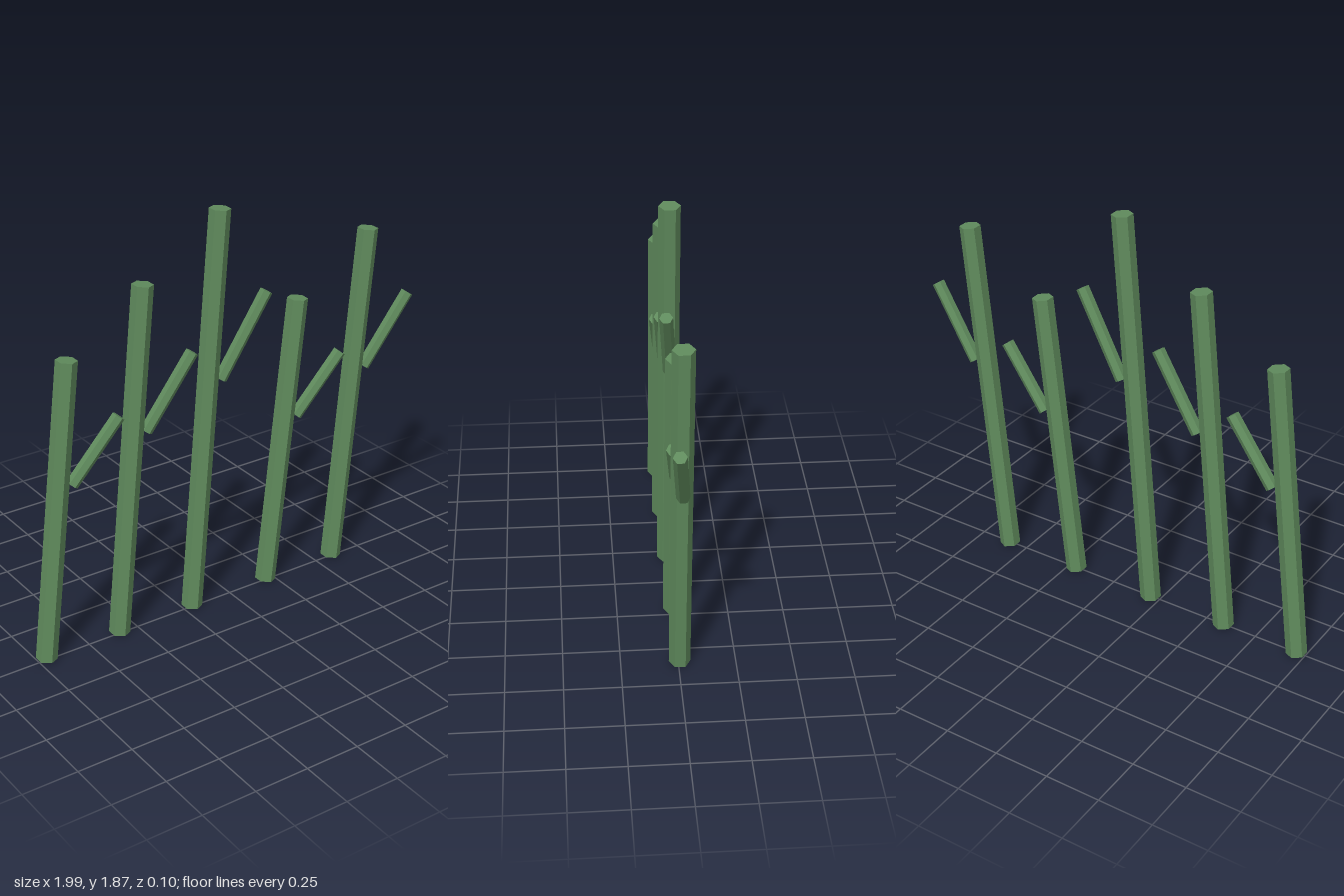
import * as THREE from 'three';

const green = new THREE.MeshStandardMaterial({ color: 0x5f8a5c, flatShading: true });
const UP = new THREE.Vector3(0, 1, 0);

// Six-sided rod running between two points
function rod(name, from, to, radius) {
  const axis = to.clone().sub(from);
  const mesh = new THREE.Mesh(new THREE.CylinderGeometry(radius, radius, axis.length(), 6), green);
  mesh.name = name;
  mesh.position.copy(from).add(to).multiplyScalar(0.5);
  mesh.quaternion.setFromUnitVectors(UP, axis.normalize());
  return mesh;
}

export function createModel() {
  const model = new THREE.Group();
  model.name = 'stalks';

  // Stem foot x and height, then the branch's lower and upper heights
  const stalks = [
    [-0.96, 1.375, 0.805, 1.075],
    [-0.59, 1.62, 0.95, 1.273],
    [-0.205, 1.87, 1.093, 1.462],
    [0.206, 1.375, 0.805, 1.075],
    [0.59, 1.62, 0.95, 1.273],
  ];
  const lean = 0.161, reach = 0.22, stemZ = -0.006, tipZ = 0.023;

  stalks.forEach(([x, height, low, high], i) => {
    const stalk = new THREE.Group();
    stalk.name = `stalk${i + 1}`;
    const topX = x + lean;
    stalk.add(
      // Leaning stem
      rod('stem', new THREE.Vector3(x, 0.005, stemZ), new THREE.Vector3(topX, height, stemZ), 0.047),
      // Side branch, swung slightly forward
      rod('branch', new THREE.Vector3(topX, low, stemZ), new THREE.Vector3(topX + reach, high, tipZ), 0.029),
    );
    model.add(stalk);
  });
  return model;
}
